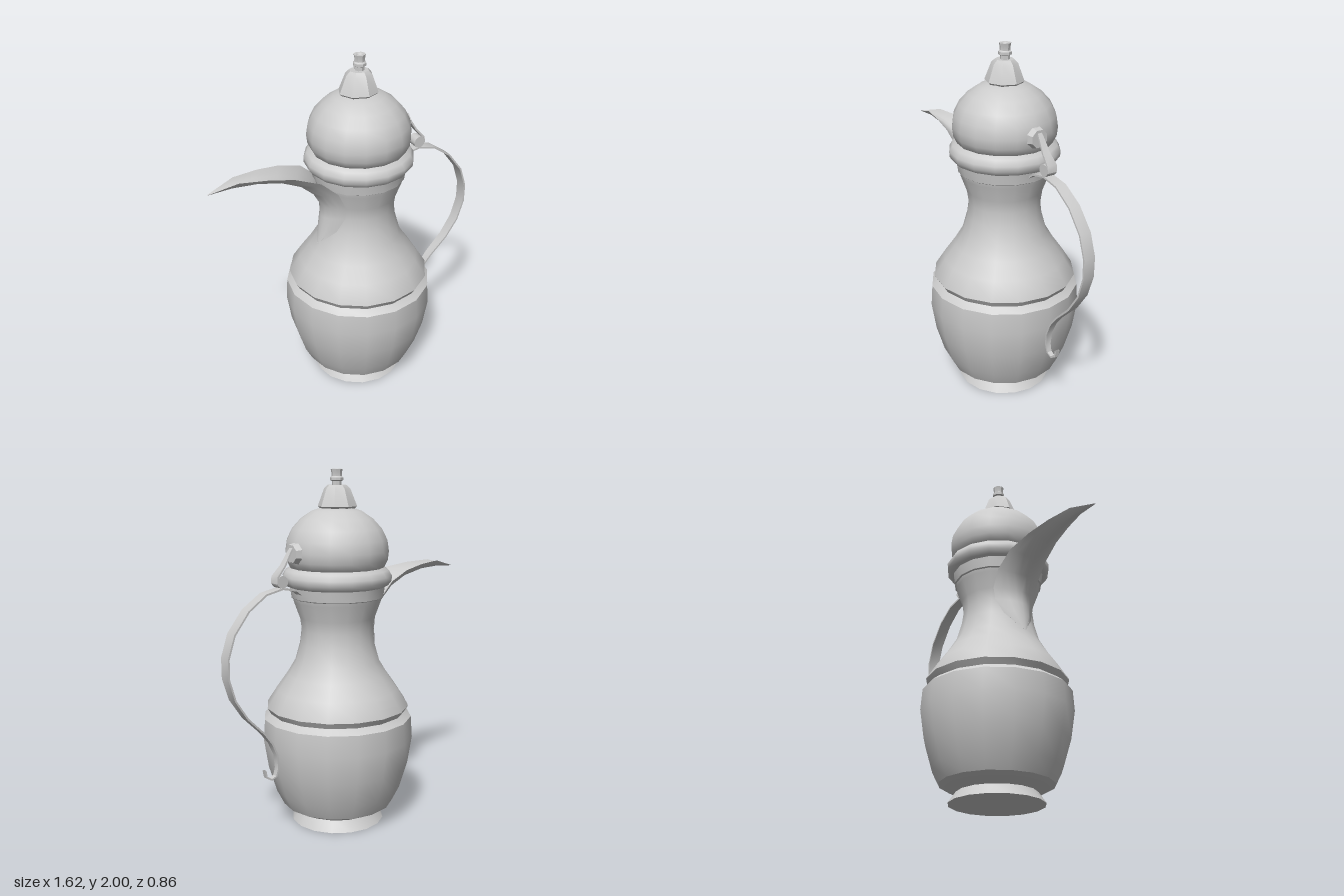
import * as THREE from 'three';
import { toCreasedNormals } from 'three/addons/utils/BufferGeometryUtils.js';

const AXIS_X = 0.08; // the pot's axis

// Surface through rows of equally many [x, y, z] points
function loft(rows, crease = 0.7) {
  const n = rows[0].length, index = [];
  for (let i = 0; i < rows.length - 1; i++) {
    for (let j = 0; j < n - 1; j++) {
      const a = i * n + j, b = a + n;
      index.push(a, b, a + 1, a + 1, b, b + 1);
    }
  }
  const g = new THREE.BufferGeometry();
  g.setAttribute('position', new THREE.Float32BufferAttribute(rows.flat(2), 3));
  g.setIndex(index);
  return toCreasedNormals(g, crease);
}

// Flat strap following [x, y, halfWidth] points, with a rectangular section
function strap(path, thickness) {
  const rows = path.map(([x, y, w], i) => {
    const p = path[Math.max(i - 1, 0)], q = path[Math.min(i + 1, path.length - 1)];
    const len = Math.hypot(q[0] - p[0], q[1] - p[1]);
    const nx = -(q[1] - p[1]) / len * thickness / 2, ny = (q[0] - p[0]) / len * thickness / 2;
    return [[x + nx, y + ny, w], [x + nx, y + ny, -w], [x - nx, y - ny, -w],
      [x - nx, y - ny, w], [x + nx, y + ny, w]];
  });
  return loft(rows);
}

function turned(profile, sides, crease = 0.6) {
  const points = profile.map(([r, y]) => new THREE.Vector2(r, y));
  return toCreasedNormals(new THREE.LatheGeometry(points, sides), crease);
}

export function createModel() {
  const group = new THREE.Group();
  const metal = new THREE.MeshStandardMaterial({ color: 0xcccccc, side: THREE.DoubleSide });
  metal.name = 'grey metal';
  const add = (name, geometry, x = 0, y = 0) => {
    const mesh = new THREE.Mesh(geometry, metal);
    mesh.name = name;
    mesh.position.set(x, y, 0);
    group.add(mesh);
    return mesh;
  };

  // Flared foot, belly, shoulder ledge and neck
  add('foot', turned([[0, 0], [0.265, 0], [0.22, 0.065]], 16), AXIS_X);
  add('belly', turned([[0.2, 0.06], [0.228, 0.06], [0.317, 0.105], [0.36, 0.19], [0.405, 0.34],
    [0.43, 0.5], [0.422, 0.62], [0.385, 0.65], [0.405, 0.683]], 16), AXIS_X);
  add('neck', turned([[0.405, 0.683], [0.403, 0.69], [0.345, 0.78], [0.285, 0.865], [0.24, 0.94],
    [0.212, 1.04], [0.202, 1.12], [0.212, 1.19], [0.245, 1.28], [0.25, 1.30], [0.258, 1.305],
    [0.268, 1.37]], 16), AXIS_X);

  // Rounded rim and domed lid
  add('rim', turned([[0.255, 1.36], [0.285, 1.37], [0.304, 1.395], [0.306, 1.425], [0.288, 1.455],
    [0.25, 1.475]], 16, 1), AXIS_X);
  add('lid', turned([[0.24, 1.455], [0.262, 1.47], [0.282, 1.51], [0.288, 1.56], [0.279, 1.62],
    [0.25, 1.68], [0.2, 1.735], [0.14, 1.775], [0.08, 1.795], [0, 1.8]], 16), AXIS_X);

  // Finial, its base drawn out to a point towards the spout
  const finial = new THREE.LatheGeometry([[0.09, 1.785], [0.105, 1.8], [0.07, 1.895], [0.05, 1.915],
    [0, 1.915]].map(([r, y]) => new THREE.Vector2(r, y)), 8);
  const pos = finial.attributes.position;
  for (let i = 0; i < pos.count; i++) {
    if (pos.getX(i) < 0) pos.setX(i, pos.getX(i) * 1.13);
  }
  add('finialBase', toCreasedNormals(finial, 0.5), AXIS_X);
  add('finialTip', turned([[0.026, 1.91], [0.026, 1.935], [0.036, 1.94], [0.036, 1.955],
    [0.028, 1.962], [0.028, 1.975], [0.033, 2], [0.02, 2], [0, 1.985]], 8), AXIS_X);

  // Open spout: stations of [keelX, keelY, edgeX, edgeY, halfWidth]
  const stations = [
    [-0.81, 1.41, -0.81, 1.412, 0.003],
    [-0.68, 1.417, -0.65, 1.455, 0.04],
    [-0.55, 1.41, -0.5, 1.447, 0.07],
    [-0.41, 1.38, -0.36, 1.425, 0.095],
    [-0.29, 1.325, -0.22, 1.375, 0.125],
    [-0.205, 1.25, -0.125, 1.29, 0.14],
    [-0.16, 1.17, -0.078, 1.19, 0.14],
    [-0.162, 1.1, -0.078, 1.12, 0.128],
    [-0.175, 1.03, -0.115, 1.03, 0.095],
    [-0.187, 0.92, -0.187, 0.922, 0.004],
  ];
  const spoutRows = stations.map(([kx, ky, ex, ey, w]) => {
    const row = [];
    for (let j = 0; j <= 8; j++) {
      const s = j / 4 - 1, t = Math.abs(s) ** 1.7;
      row.push([kx + (ex - kx) * t, ky + (ey - ky) * t, -w * s]);
    }
    return row;
  });
  add('spout', loft(spoutRows, 1));

  // Ribbon handle ending in a small curl
  add('handle', strap([[0.285, 1.24, 0.028], [0.31, 1.32, 0.028], [0.37, 1.365, 0.029],
    [0.46, 1.382, 0.03], [0.565, 1.36, 0.032], [0.675, 1.285, 0.034], [0.765, 1.17, 0.035],
    [0.805, 1.05, 0.035], [0.805, 0.94, 0.034], [0.768, 0.82, 0.032], [0.695, 0.71, 0.029],
    [0.59, 0.605, 0.025], [0.54, 0.54, 0.022], [0.507, 0.465, 0.019], [0.5, 0.39, 0.016],
    [0.513, 0.345, 0.014], [0.543, 0.331, 0.013], [0.575, 0.35, 0.013], [0.583, 0.39, 0.013]], 0.01));

  // Hinge: round plate on the lid, strap and pin
  const plate = new THREE.CylinderGeometry(0.05, 0.063, 0.04, 8);
  plate.rotateY(Math.PI / 8);
  plate.rotateZ(-Math.PI / 2);
  add('hingePlate', toCreasedNormals(plate, 0.5), 0.367, 1.56);
  add('hingeStrap', strap([[0.375, 1.6, 0.012], [0.4, 1.565, 0.016], [0.44, 1.5, 0.022],
    [0.49, 1.445, 0.03], [0.493, 1.41, 0.03]], 0.01));
  const pin = new THREE.CylinderGeometry(0.034, 0.034, 0.06, 12);
  pin.rotateX(Math.PI / 2);
  add('hingePin', toCreasedNormals(pin, 0.7), 0.462, 1.418);

  return group;
}
